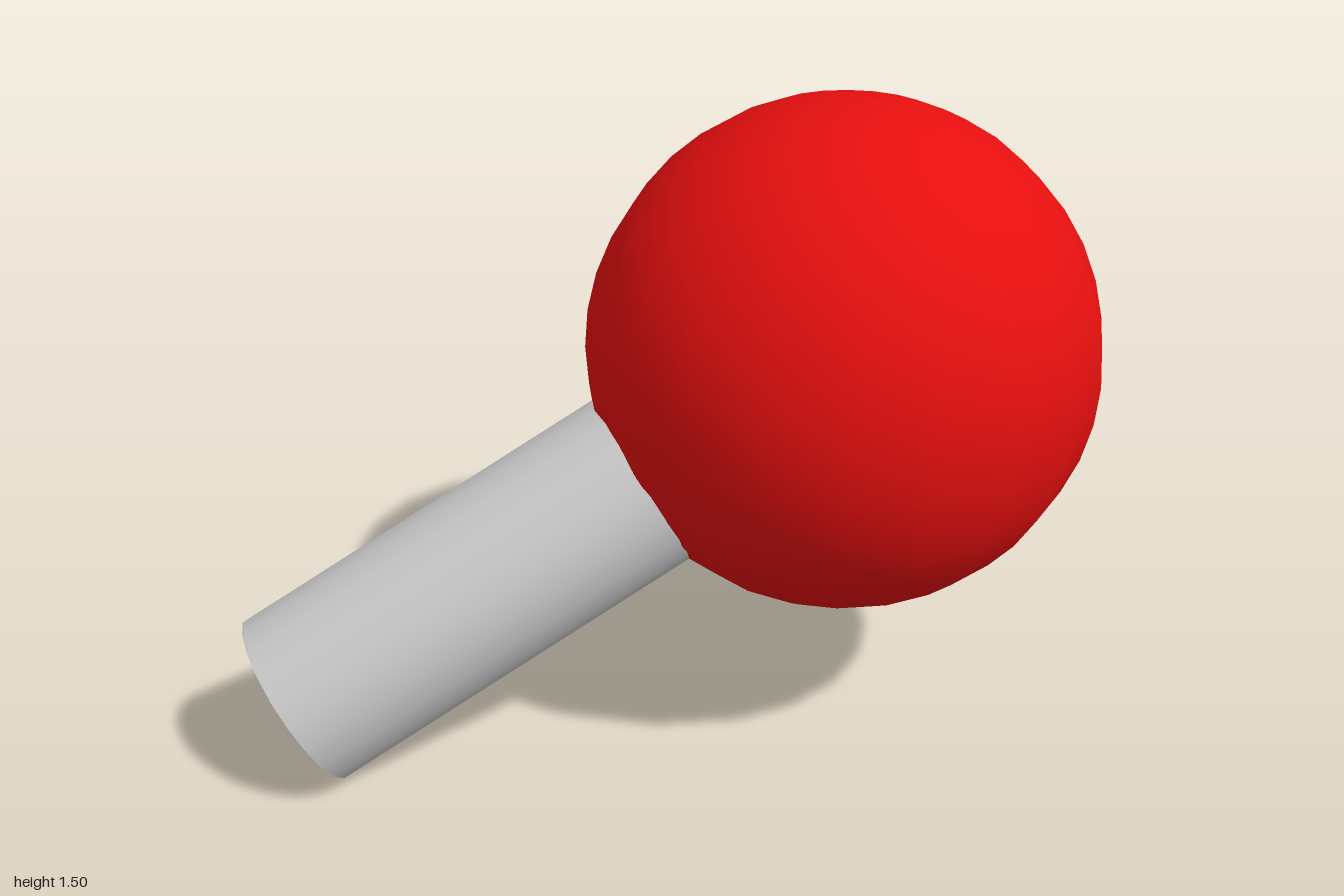
import * as THREE from 'three';

export function createModel() {
  const model = new THREE.Group();
  const headCentre = new THREE.Vector3(0.404, 0.908, 0);
  const footCentre = new THREE.Vector3(-0.899, 0.189, 0);

  // Large red ball
  const ball = new THREE.Mesh(
    new THREE.SphereGeometry(0.592, 20, 20),
    new THREE.MeshStandardMaterial({ color: 0xe60f0f })
  );
  ball.name = 'ball';
  ball.position.copy(headCentre);
  model.add(ball);

  // Slanted round shaft running from its flat foot to the middle of the ball
  const axis = headCentre.clone().sub(footCentre);
  const shaft = new THREE.Mesh(
    new THREE.CylinderGeometry(0.215, 0.215, axis.length(), 20),
    new THREE.MeshStandardMaterial({ color: 0xcccccc })
  );
  shaft.name = 'shaft';
  shaft.position.copy(footCentre).lerp(headCentre, 0.5);
  shaft.rotation.z = Math.atan2(axis.y, axis.x) - Math.PI / 2;
  model.add(shaft);

  return model;
}
